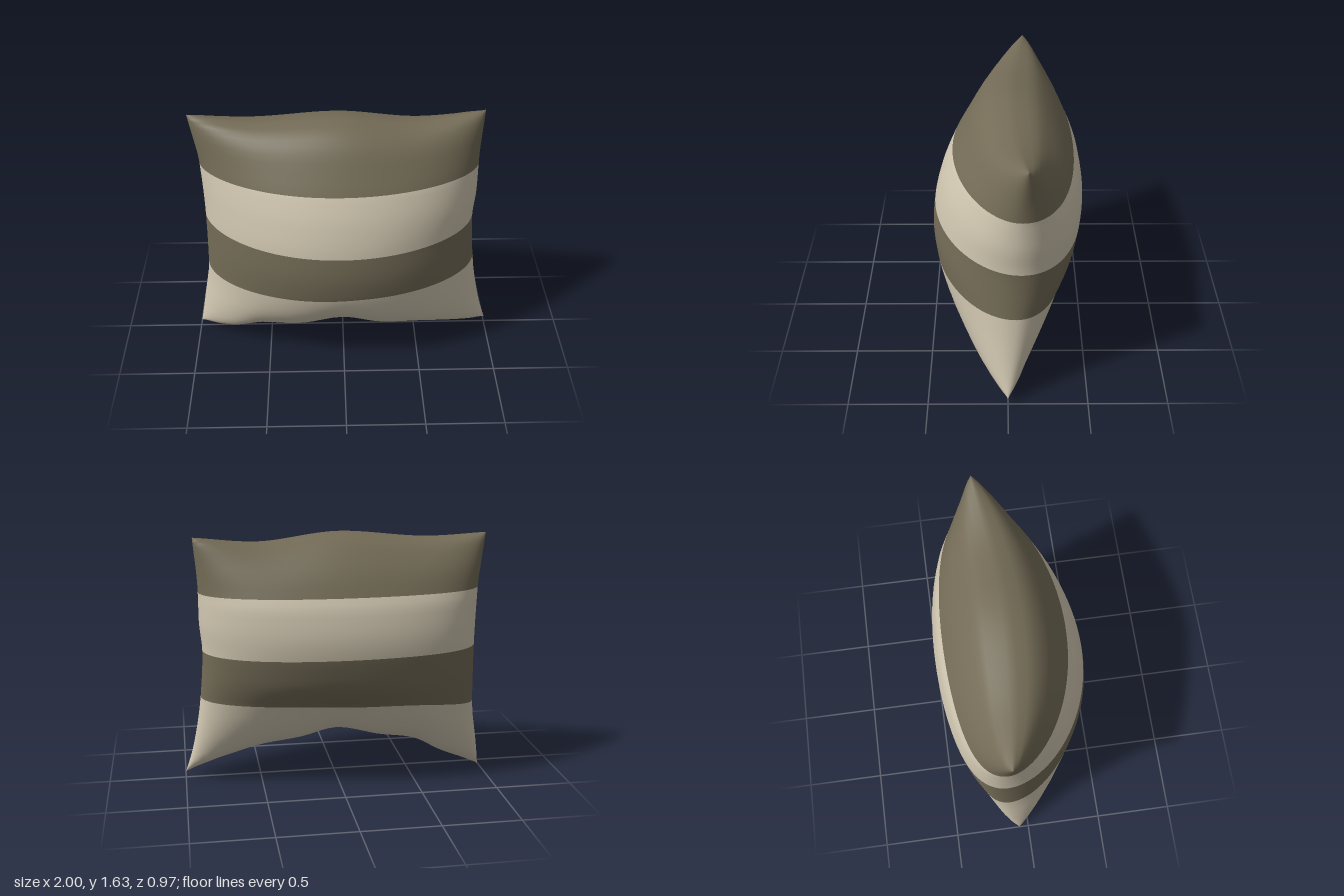
import * as THREE from 'three';
import { mergeVertices } from 'three/addons/utils/BufferGeometryUtils.js';

// Smooth interpolation through [position, value] knots
function curve(knots) {
  const slope = (i, j) => (knots[j][1] - knots[i][1]) / (knots[j][0] - knots[i][0]);
  const tangent = (i) => {
    if (i === 0) return slope(0, 1);
    if (i === knots.length - 1) return slope(i - 1, i);
    const a = slope(i - 1, i), b = slope(i, i + 1);
    return a * b <= 0 ? 0 : (2 * a * b) / (a + b);
  };
  return (p) => {
    let i = 0;
    while (i < knots.length - 2 && p > knots[i + 1][0]) i++;
    const h = knots[i + 1][0] - knots[i][0];
    const t = THREE.MathUtils.clamp((p - knots[i][0]) / h, 0, 1);
    const t2 = t * t, t3 = t2 * t;
    return (2 * t3 - 3 * t2 + 1) * knots[i][1] + (t3 - 2 * t2 + t) * h * tangent(i)
      + (3 * t2 - 2 * t3) * knots[i + 1][1] + (t3 - t2) * h * tangent(i + 1);
  };
}

// Heights of the stripe edges across the width (u from -1 to 1)
const edges = [
  curve([[-1, 0], [-0.75, 0.08], [-0.53, 0.185], [-0.3, 0.22], [0, 0.295],
    [0.25, 0.23], [0.5, 0.19], [0.75, 0.12], [1, 0.04]]),
  curve([[-1, 0.5], [-0.55, 0.545], [-0.2, 0.565], [0.2, 0.58], [1, 0.58]]),
  () => 0.9,
  () => 1.28,
  curve([[-1, 1.62], [-0.6, 1.595], [0, 1.635], [0.55, 1.585], [1, 1.63]]),
];

// Side outlines by height
const leftSide = curve([[0, -1], [0.2, -0.965], [0.5, -0.92], [0.9, -0.912], [1.28, -0.925], [1.45, -0.95], [1.62, -0.98]]);
const rightSide = curve([[0.04, 1], [0.2, 0.95], [0.4, 0.91], [0.58, 0.885], [0.9, 0.865], [1.1, 0.88], [1.28, 0.88], [1.63, 0.905]]);

// Centre depth profiles by stripe level w (0 bottom seam, 4 top seam)
const frontDepth = curve([[0, 0.2], [0.03, 0.28], [0.1, 0.325], [0.2, 0.355], [0.55, 0.43], [1, 0.475], [1.5, 0.49],
  [2, 0.475], [2.5, 0.43], [3, 0.35], [3.34, 0.28], [3.7, 0.2], [3.9, 0.12], [3.97, 0.06], [4, -0.02]]);
const backDepth = curve([[0, 0.2], [0.06, 0.02], [0.2, -0.14], [0.55, -0.28], [1, -0.38], [1.6, -0.455],
  [2.26, -0.485], [2.8, -0.455], [3, -0.42], [3.34, -0.36], [3.7, -0.26], [3.9, -0.18], [3.97, -0.11], [4, -0.02]]);
const spineDepth = curve([[0, 0.2], [0.3, 0.06], [1, 0.02], [3, -0.02], [4, -0.02]]);
const leftSeamDepth = curve([[0, -0.06], [0.4, -0.1], [1, -0.12], [3, -0.13], [4, -0.11]]);
const rightSeamDepth = curve([[0, 0], [1, -0.05], [2, -0.08], [3, -0.085], [4, -0.115]]);

// Fold pressed into the lower back, by stripe level
const foldDepth = curve([[0, 0], [0.5, 0.8], [0.9, 1], [1.4, 0], [4, 0]]);

function heightAt(u, w) {
  const i = Math.min(Math.floor(w), 3);
  return THREE.MathUtils.lerp(edges[i](u), edges[i + 1](u), w - i);
}

function cushionGeometry() {
  const columns = 96, steps = 10;
  const levels = [0];
  for (let stripe = 0; stripe < 4; stripe++) {
    for (let k = 1; k <= steps; k++) {
      const t = k / steps; // rows crowd towards the top and bottom seams
      levels.push(stripe + (stripe === 0 ? t * t : stripe === 3 ? 1 - (1 - t) ** 2 : t));
    }
  }
  const positions = [], indices = [];
  for (const w of levels) {
    const left = leftSide(heightAt(-1, w)), right = rightSide(heightAt(1, w));
    const spine = spineDepth(w), front = frontDepth(w) - spine, back = spine - backDepth(w);
    for (let j = 0; j < columns; j++) {
      const angle = (j / columns) * Math.PI * 2;
      const u = Math.cos(angle), s = Math.sin(angle);
      const across = (u + 1) / 2;
      const seam = THREE.MathUtils.lerp(leftSeamDepth(w), rightSeamDepth(w), across);
      const fold = Math.max(-s, 0) * Math.exp(-((u / 0.4) ** 2)) * foldDepth(w);
      const z = THREE.MathUtils.lerp(seam, spine, 1 - u * u) + s * (s > 0 ? front : back);
      positions.push(THREE.MathUtils.lerp(left, right, across), heightAt(u, w) - 0.04 * fold, z + 0.08 * fold);
    }
  }
  for (let i = 0; i < levels.length - 1; i++) {
    for (let j = 0; j < columns; j++) {
      const a = i * columns + j, b = i * columns + ((j + 1) % columns);
      indices.push(a, a + columns, b, b, a + columns, b + columns);
    }
  }
  const geometry = new THREE.BufferGeometry();
  geometry.setAttribute('position', new THREE.Float32BufferAttribute(positions, 3));
  geometry.setIndex(indices);
  // One group per stripe: light, dark, light, dark from the bottom
  const perStripe = steps * columns * 6;
  for (let stripe = 0; stripe < 4; stripe++) geometry.addGroup(stripe * perStripe, perStripe, stripe % 2);
  const welded = mergeVertices(geometry, 1e-5);
  welded.computeVertexNormals();
  return welded;
}

export function createModel() {
  const light = new THREE.MeshStandardMaterial({ color: 0xd0c6b0 });
  light.name = 'light beige fabric';
  const dark = new THREE.MeshStandardMaterial({ color: 0x736b56 });
  dark.name = 'dark olive fabric';

  const group = new THREE.Group();
  group.name = 'stripedCushion';
  const cushion = new THREE.Mesh(cushionGeometry(), [light, dark]);
  cushion.name = 'cushionCover';
  group.add(cushion);
  return group;
}
